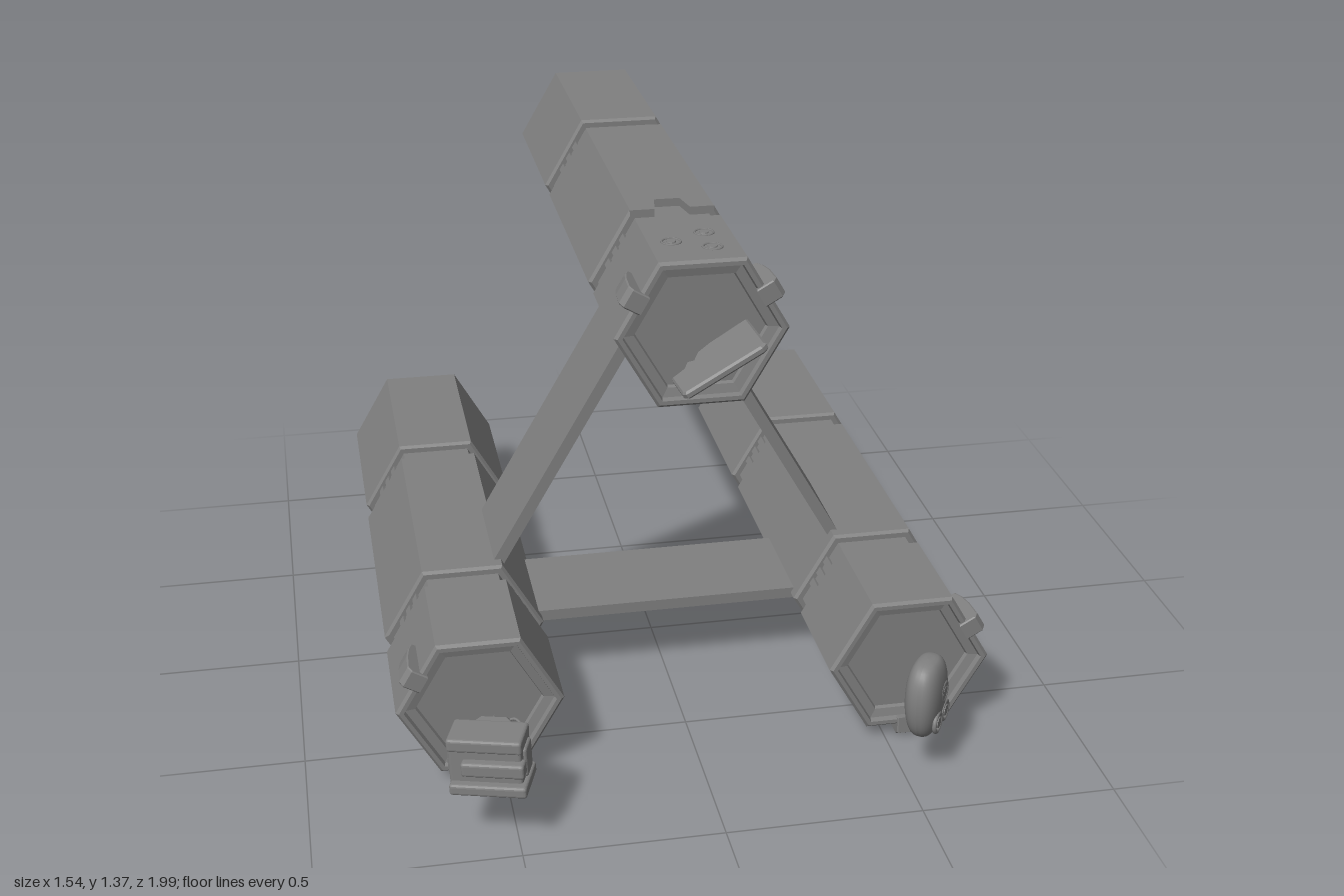
import * as THREE from 'three';
import { RoundedBoxGeometry } from 'three/addons/geometries/RoundedBoxGeometry.js';

const flat = new THREE.MeshStandardMaterial({ color: 0x808080, flatShading: true });
const smooth = new THREE.MeshStandardMaterial({ color: 0x808080 });

const R = 0.212;                          // hull corner radius
const APOTHEM = R * Math.sqrt(3) / 2;     // distance to a hull face
const CORE = 0.188;                       // corner radius inside the grooves
const C = 0.008;                          // chamfer

function add(parent, name, geo, pos = [0, 0, 0], rot = [0, 0, 0], mat = flat) {
  const m = new THREE.Mesh(geo, mat);
  m.name = name;
  m.position.set(...pos);
  m.rotation.set(...rot);
  parent.add(m);
  return m;
}

function group(parent, name, pos = [0, 0, 0], rot = [0, 0, 0]) {
  const g = new THREE.Group();
  g.name = name;
  g.position.set(...pos);
  g.rotation.set(...rot);
  parent.add(g);
  return g;
}

// Polygon extruded by depth, centred on its own thickness
function plate(points, depth, bevel = 0) {
  const shape = new THREE.Shape(points.map(p => new THREE.Vector2(...p)));
  const geo = new THREE.ExtrudeGeometry(shape, {
    depth: depth - 2 * bevel, bevelEnabled: bevel > 0,
    bevelSize: bevel, bevelThickness: bevel, bevelOffset: -bevel, bevelSegments: 1
  });
  return geo.translate(0, 0, bevel - depth / 2);
}

// Six-sided profile of [radius, z] points around the z axis, optionally leaving faces open
function hexLathe(points, start = Math.PI / 2, faces = 6) {
  const profile = points.map(p => new THREE.Vector2(...p));
  return new THREE.LatheGeometry(profile, faces, start, faces * Math.PI / 3).rotateX(Math.PI / 2);
}

// One tube; +y points away from the frame centre, turn is its angle in the frame
function buildTube(parent, turn) {
  const tube = group(parent, 'tube', [0, 0.643, 0]);

  // Rear section, core and front section with recessed ends
  add(tube, 'hull', hexLathe([
    [0, -0.975], [0.188, -0.975], [0.194, -1], [R, -1],
    [R, -0.49 - C], [R - C, -0.49], [CORE, -0.49],
    [CORE, 0.35], [R - C, 0.35], [R, 0.35 + C], [R, 0.657], [R - C, 0.665],
    [0.192, 0.665], [0.188, 0.65], [0.162, 0.645], [0.158, 0.635], [0, 0.635]
  ]));

  // Middle section: five plain faces and an outer one with a notch
  add(tube, 'middleSection', hexLathe([
    [CORE - 0.005, -0.42], [R - C, -0.42], [R, -0.42 + C],
    [R, 0.285 - C], [R - C, 0.285], [CORE - 0.005, 0.285]
  ], Math.PI * 7 / 6, 5));
  const notched = plate([[-R / 2, -0.285], [-0.045, -0.285], [-0.032, -0.213], [0.032, -0.213],
    [0.045, -0.285], [R / 2, -0.285], [R / 2, 0.42], [-R / 2, 0.42]], 0.024).rotateX(-Math.PI / 2);
  add(tube, 'notchedFace', notched, [0, APOTHEM - 0.012, 0]);

  // Short teeth across the grooves, on the faces that slope in the finished frame
  const tooth = new THREE.BoxGeometry(0.02, 0.016, 0.07);
  for (const face of [1, 2, 4, 5]) {
    const ring = group(tube, 'grooveTeeth', [0, 0, 0], [0, 0, face * Math.PI / 3 - turn]);
    for (const z of [-0.455, 0.3175]) {
      for (let i = -1; i <= 1; i++) add(ring, 'tooth', tooth, [i * 0.036, CORE * 0.866, z]);
    }
  }

  // Clips on both shoulders
  const clip = plate([[0.525, 0.175], [0.67, 0.16], [0.67, 0.206], [0.655, 0.2165],
    [0.6, 0.214], [0.56, 0.207], [0.53, 0.197]], 0.05, 0.003).rotateY(-Math.PI / 2);
  for (const side of [-1, 1]) add(tube, 'clip', clip, [0, 0, 0], [0, 0, side * Math.PI / 3]);

  // Three round sensors
  const ring = new THREE.TorusGeometry(0.023, 0.003, 6, 24).rotateX(Math.PI / 2);
  const lens = new THREE.CylinderGeometry(0.011, 0.013, 0.006, 16);
  for (const [x, z] of [[-0.05, 0.525], [0.04, 0.475], [0.04, 0.575]]) {
    add(tube, 'sensorRing', ring, [x, APOTHEM, z], [0, 0, 0], smooth);
    add(tube, 'sensorLens', lens, [x, APOTHEM, z]);
  }
}

// Thin stepped blade floating ahead of the top tube
function buildBlade(parent) {
  const outline = [[-0.115, -0.81], [-0.08, -0.8], [-0.065, -0.775], [-0.05, -0.785], [-0.035, -0.76],
    [0, -0.748], [0.105, -0.735], [0.113, -0.895], [0.1, -0.905], [-0.1, -0.915], [-0.108, -0.905]];
  const blade = group(parent, 'bladeHead', [0, 1.185, 0], [0, 0, 0.5]);
  add(blade, 'blade', plate(outline.reverse(), 0.02, 0.005).rotateX(-Math.PI / 2));
}

// Rounded, boxy head with a narrower chin and ringed eyes
function buildEgg(parent) {
  const egg = group(parent, 'eggHead', [0.55, 0.222, 0.825], [0, 0.95, 0]);
  const shell = new THREE.SphereGeometry(1, 32, 24);
  const p = shell.attributes.position;
  const soften = v => Math.sign(v) * Math.pow(Math.abs(v), 0.8);
  for (let i = 0; i < p.count; i++) {
    const y = p.getY(i);
    const swell = Math.pow(Math.max(1 - y * y, 0), -0.1 + 0.0) * (1 + 0.06 * y);
    const w = Math.abs(y) > 0.999 ? 0 : Math.min(swell, 1.4);
    p.setXYZ(i, soften(p.getX(i)) * 0.08 * w, y * 0.106, soften(p.getZ(i)) * 0.046 * w);
  }
  shell.computeVertexNormals();
  add(egg, 'shell', shell, [0, 0, 0], [0, 0, 0], smooth);
  for (const [x, y] of [[-0.025, -0.055], [0.03, -0.05], [0.012, 0.015]]) {
    add(egg, 'eyeRing', new THREE.TorusGeometry(0.024, 0.006, 8, 24), [x, y, 0.041], [0, 0, 0], smooth);
    add(egg, 'eye', new THREE.CylinderGeometry(0.014, 0.017, 0.015, 20), [x, y, 0.039], [Math.PI / 2, 0, 0]);
  }
}

// Boxy instrument head with a visor bar, rear housing and wire spikes
function buildInstrument(parent) {
  const head = group(parent, 'instrumentHead', [-0.56, 0.22, 0.885], [0, -0.33, 0.04]);
  const box = (name, w, h, d, pos) => add(head, name, new RoundedBoxGeometry(w, h, d, 2, 0.008), pos);
  box('body', 0.18, 0.12, 0.105, [0, 0, 0]);
  box('upperPlate', 0.185, 0.035, 0.1, [0, 0.053, 0.005]);
  box('lowerPlate', 0.19, 0.03, 0.125, [0.007, -0.058, 0.012]);
  box('visor', 0.155, 0.038, 0.04, [0.022, 0, 0.055]);
  for (const x of [-0.09, 0.09]) box('sideCover', 0.018, 0.08, 0.06, [x, 0, 0]);
  add(head, 'rearHousing', plate([[-0.075, 0.03], [0.075, 0.03], [0.03, 0.095], [-0.04, 0.095]], 0.1, 0.006)
    .rotateX(-Math.PI / 2));

  const spike = new THREE.ConeGeometry(0.006, 0.07, 6).rotateX(-Math.PI / 2);
  for (let i = 0; i < 5; i++) {
    add(head, 'spike', spike, [-0.035 + i * 0.013, 0.015 * Math.sin(i * 2.2), -0.12 - 0.008 * (i % 2)]);
  }
  const wire = new THREE.CatmullRomCurve3([
    [0.01, 0.02, -0.085], [0.04, 0.04, -0.1], [0.07, 0.035, -0.07], [0.08, 0.02, -0.02]
  ].map(v => new THREE.Vector3(...v)));
  add(head, 'wire', new THREE.TubeGeometry(wire, 16, 0.004, 6), [0, 0, 0], [0, 0, 0], smooth);
}

export function createModel() {
  const model = new THREE.Group();
  model.name = 'triangularTubeFrame';

  // Three sectors around the frame axis, each a tube and the strut opposite it
  for (let k = 0; k < 3; k++) {
    const turn = k * Math.PI * 2 / 3;
    const sector = group(model, 'sector', [0, 0.538, 0], [0, 0, turn]);
    buildTube(sector, turn);
    add(sector, 'strut', new THREE.BoxGeometry(0.71, 0.03, 0.295), [0, -0.322, 0.098]);
  }
  buildBlade(model);
  buildEgg(model);
  buildInstrument(model);
  return model;
}
